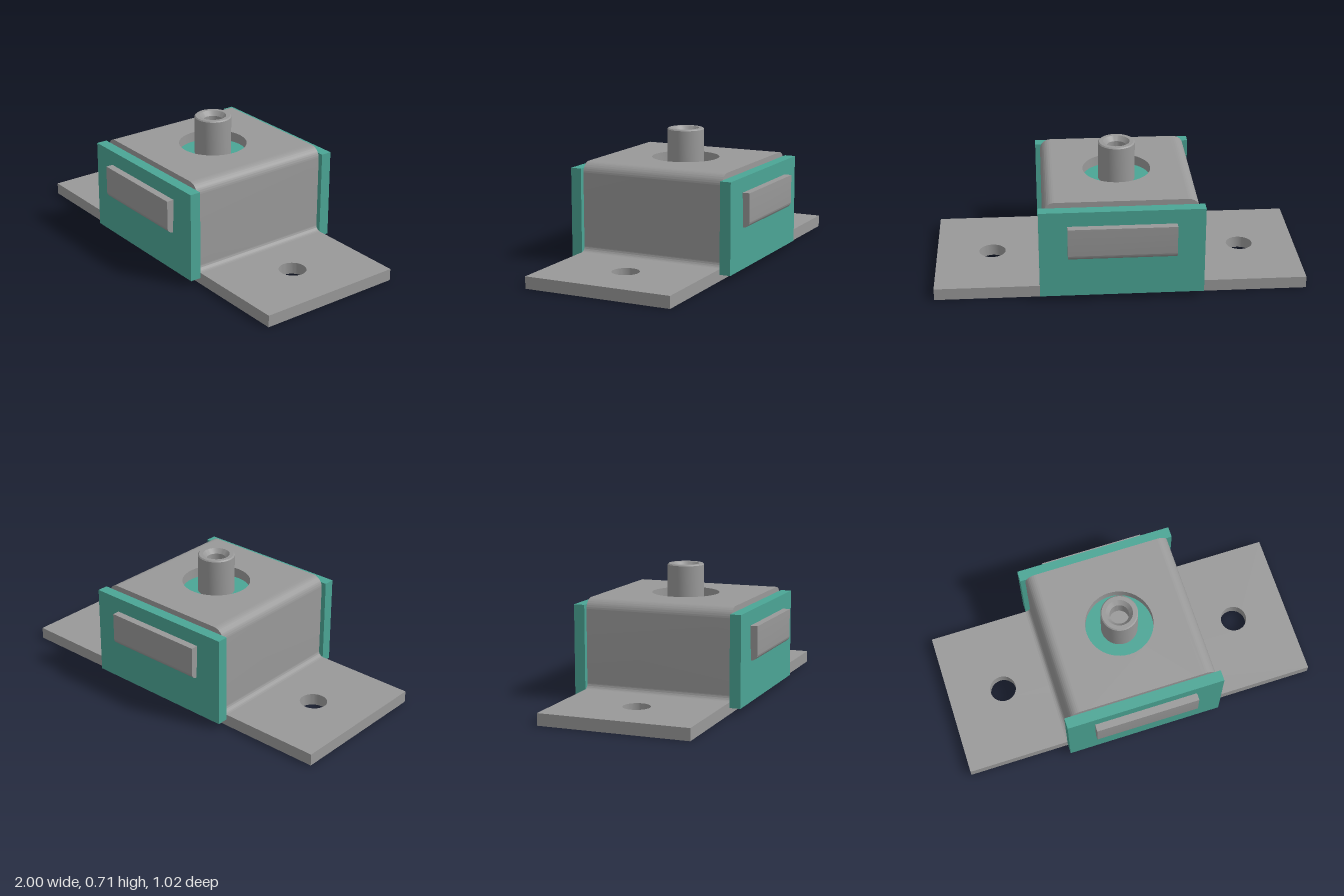
import * as THREE from 'three';
import { toCreasedNormals } from 'three/addons/utils/BufferGeometryUtils.js';

const metal = new THREE.MeshStandardMaterial({ name: 'grey metal', color: 0x999999 });
const teal = new THREE.MeshStandardMaterial({ name: 'teal rubber', color: 0x4ba595 });

const HALF_DEPTH = 0.41, BASE = 0.065, WALL = 0.41, TOP = 0.555, INNER = 0.495;

function add(parent, name, geometry, material, x = 0, y = 0, z = 0) {
  const mesh = new THREE.Mesh(geometry, material);
  mesh.name = name;
  mesh.position.set(x, y, z);
  parent.add(mesh);
  return mesh;
}

// Extrusion centred on its depth, smooth on curves and sharp on edges
function extrude(shape, depth) {
  const g = new THREE.ExtrudeGeometry(shape, { depth, bevelEnabled: false, curveSegments: 24 });
  g.translate(0, 0, -depth / 2);
  return toCreasedNormals(g, 0.6);
}

// Horizontal plate with round holes given as [x, radius]
function plate(halfX, halfZ, thickness, holes) {
  const s = new THREE.Shape();
  s.moveTo(-halfX, -halfZ).lineTo(halfX, -halfZ).lineTo(halfX, halfZ).lineTo(-halfX, halfZ).closePath();
  for (const [x, r] of holes) s.holes.push(new THREE.Path().absarc(x, 0, r, 0, Math.PI * 2, true));
  return extrude(s, thickness).rotateX(-Math.PI / 2);
}

// Hat section: foot fillets, rounded shoulders and an open channel for the top panel
function housingShape(gap) {
  const f = 0.03, r = 0.06, s = new THREE.Shape();
  s.moveTo(-WALL - f, BASE);
  s.lineTo(WALL + f, BASE);
  s.absarc(WALL + f, BASE + f, f, -Math.PI / 2, -Math.PI, true);
  s.absarc(WALL - r, TOP - r, r, 0, Math.PI / 2, false);
  s.lineTo(gap, TOP);
  s.lineTo(gap, INNER);
  s.lineTo(-gap, INNER);
  s.lineTo(-gap, TOP);
  s.absarc(-WALL + r, TOP - r, r, Math.PI / 2, Math.PI, false);
  s.absarc(-WALL - f, BASE + f, f, 0, -Math.PI / 2, true);
  return s;
}

// End tab profile (outward, up) with a rounded lower edge
function tabShape() {
  const r = 0.035, s = new THREE.Shape();
  s.moveTo(0, 0.26);
  s.absarc(0.04 - r, 0.26 + r, r, -Math.PI / 2, 0, false);
  s.lineTo(0.04, 0.445);
  s.lineTo(0, 0.445);
  s.closePath();
  return s;
}

export function createModel() {
  const model = new THREE.Group();
  model.name = 'vibrationMount';

  // Mounting plate with two bolt holes
  add(model, 'basePlate', plate(1, HALF_DEPTH, BASE, [[-0.693, 0.073], [0.693, 0.073]]), metal, 0, BASE / 2);

  // Raised housing and its pierced top
  const gap = 0.3;
  add(model, 'housing', extrude(housingShape(gap), HALF_DEPTH * 2), metal);
  add(model, 'housingTop', plate(gap, HALF_DEPTH, TOP - INNER, [[0, 0.185]]), metal, 0, (TOP + INNER) / 2);

  // Rubber seen through the top opening
  add(model, 'rubberCore', new THREE.CylinderGeometry(0.186, 0.186, 0.006, 48), teal, 0, INNER + 0.002);

  // Hollow threaded post with a countersunk bore
  const profile = [[0.1, 0.49], [0.1, 0.709], [0.094, 0.715], [0.072, 0.715], [0.052, 0.69], [0.052, 0.61], [0, 0.61]]
    .map(([r, y]) => new THREE.Vector2(r, y));
  add(model, 'post', toCreasedNormals(new THREE.LatheGeometry(profile, 48), 0.5), metal);

  // Rubber end plates and metal tabs, front and back
  for (const side of [1, -1]) {
    const end = new THREE.Group();
    end.name = side > 0 ? 'frontEnd' : 'backEnd';
    end.rotation.y = side > 0 ? 0 : Math.PI;
    add(end, 'rubberPlate', new THREE.BoxGeometry(0.874, 0.49, 0.06), teal, 0, 0.28, 0.44);
    add(end, 'tab', extrude(tabShape(), 0.574).rotateY(-Math.PI / 2), metal, 0, 0, 0.47);
    model.add(end);
  }
  return model;
}
